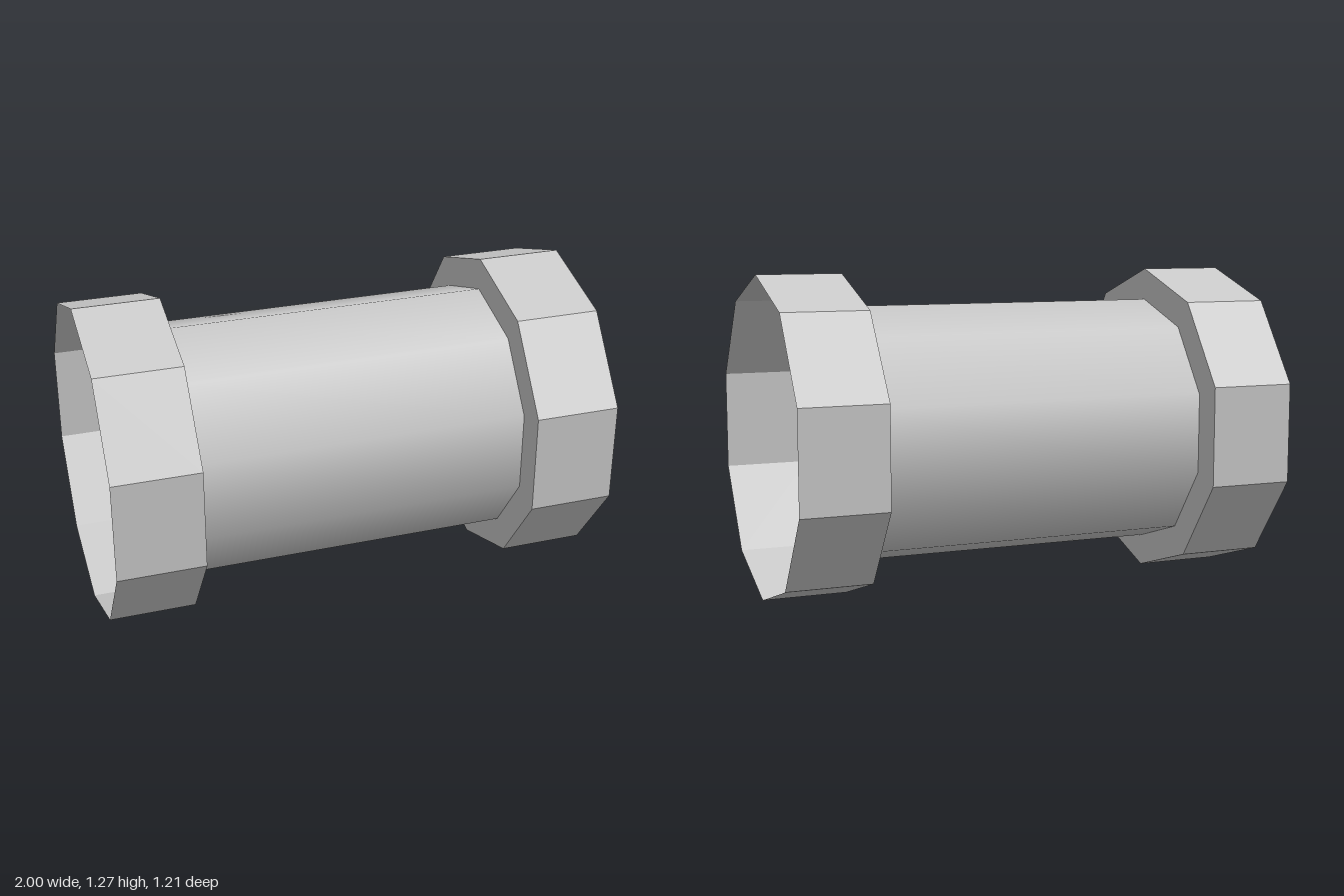
import * as THREE from 'three';

const SIDES = 10;
const OUTER = 0.636; // collar radius
const INNER = 0.508; // pipe radius
const STEP = 0.66;   // where the pipe meets each collar

export function createModel() {
  const group = new THREE.Group();
  const smooth = new THREE.MeshStandardMaterial({ color: 0xcccccc, side: THREE.DoubleSide });
  const faceted = new THREE.MeshStandardMaterial({ color: 0xcccccc, side: THREE.DoubleSide, flatShading: true });

  const add = (name, geometry, material, x) => {
    const mesh = new THREE.Mesh(geometry, material);
    mesh.name = name;
    mesh.position.set(x, OUTER * 1.002, 0);
    group.add(mesh);
  };

  // Open ten-sided shell lying along x, with a corner at the top
  const shell = (radius, length) =>
    new THREE.CylinderGeometry(radius, radius, length, SIDES, 1, true, Math.PI / 2).rotateZ(-Math.PI / 2);

  // Smooth-shaded pipe between the collars
  add('pipe', shell(INNER, STEP * 2), smooth, 0);

  // Wider open collar at each end, joined to the pipe by a flat shoulder
  for (const [side, s] of [['left', 1], ['right', -1]]) {
    add(side + 'Collar', shell(OUTER, 1 - STEP), faceted, s * (1 + STEP) / 2);
    const shoulder = new THREE.RingGeometry(INNER, OUTER, SIDES, 1, Math.PI / 2).rotateY(-s * Math.PI / 2);
    add(side + 'Shoulder', shoulder, faceted, s * STEP);
  }
  return group;
}
